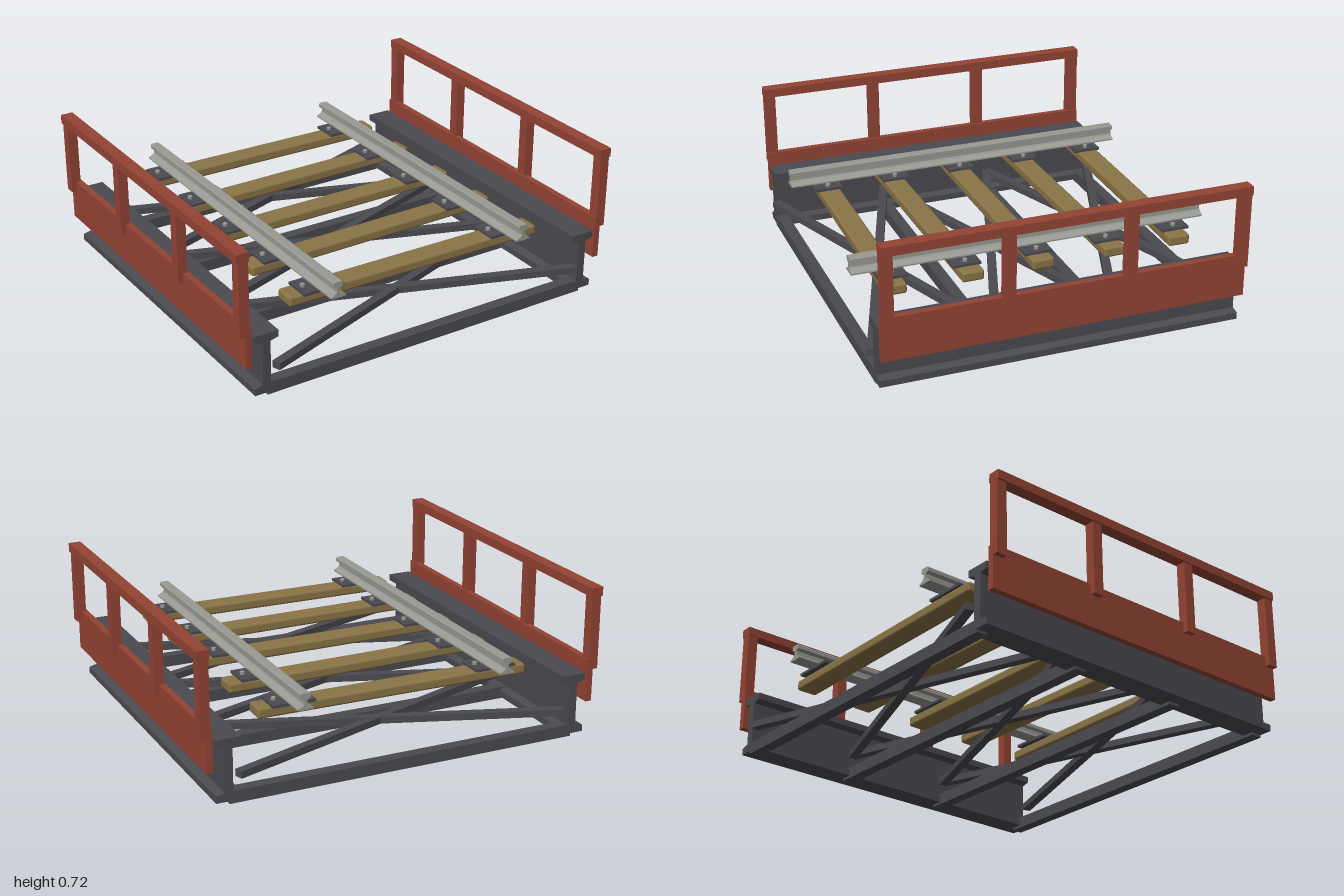
import * as THREE from 'three';
import { RoundedBoxGeometry } from 'three/addons/geometries/RoundedBoxGeometry.js';

const LENGTH = 1.73;

function material(name, color) {
  const m = new THREE.MeshStandardMaterial({ color });
  m.name = name;
  return m;
}

export function createModel() {
  const steel = material('dark steel', 0x4b4a50);
  const red = material('red paint', 0x944434);
  const wood = material('timber', 0x8b7547);
  const rail = material('rail steel', 0x999a93);

  const model = new THREE.Group();
  model.name = 'railwayBridgeSection';

  function add(name, geometry, mat, x = 0, y = 0, z = 0, yaw = 0) {
    const mesh = new THREE.Mesh(geometry, mat);
    mesh.name = name;
    mesh.position.set(x, y, z);
    mesh.rotation.y = yaw;
    model.add(mesh);
    return mesh;
  }

  // Box given by its limits on each axis
  function slab(name, mat, x0, x1, y0, y1, z0, z1) {
    const g = new THREE.BoxGeometry(x1 - x0, y1 - y0, z1 - z0);
    return add(name, g, mat, (x0 + x1) / 2, (y0 + y1) / 2, (z0 + z1) / 2);
  }

  // Symmetrical section (half given bottom to top) run along z
  function section(half) {
    const pts = [...half, ...half.map(([x, y]) => [-x, y]).reverse()];
    const shape = new THREE.Shape(pts.map(([x, y]) => new THREE.Vector2(x, y)));
    return new THREE.ExtrudeGeometry(shape, { depth: LENGTH, bevelEnabled: false })
      .translate(0, 0, -LENGTH / 2);
  }

  const girder = section([
    [0.06, 0.018], [0.06, 0.05], [0.02, 0.06],
    [0.02, 0.268], [0.06, 0.278], [0.06, 0.31],
  ]);
  const runningRail = section([
    [0.037, 0.375], [0.037, 0.382], [0.012, 0.395], [0.007, 0.402],
    [0.007, 0.422], [0.024, 0.43], [0.024, 0.446], [0.019, 0.452],
  ]);
  const bolt = new THREE.CylinderGeometry(0.012, 0.012, 0.014, 6);
  const plate = new THREE.BoxGeometry(0.206, 0.013, 0.135);
  const sleeper = new RoundedBoxGeometry(1.34, 0.05, 0.106, 2, 0.012);

  const posts = [-0.838, -0.287, 0.287, 0.838];
  const sleeperZ = [-0.692, -0.346, 0, 0.346, 0.692];
  const sleeperYaw = [-0.013, 0.015, 0.004, 0.014, -0.013];

  for (const s of [-1, 1]) {
    add('girder', girder, steel, s * 0.865);
    add('runningRail', runningRail, rail, s * 0.503);

    // Side fence: kick panel, posts and handrail
    const span = (a, b) => (s > 0 ? [a, b] : [-b, -a]);
    slab('fencePanel', red, ...span(0.936, 0.967), 0.165, 0.373, -LENGTH / 2, LENGTH / 2);
    slab('handrail', red, ...span(0.94, 1), 0.677, 0.72, -LENGTH / 2, LENGTH / 2);
    for (const z of posts) {
      slab('fencePost', red, ...span(0.944, 0.992), 0.322, 0.678, z - 0.026, z + 0.026);
    }

    // Tie plates with a bolt either side of the rail
    for (const z of sleeperZ) {
      add('tiePlate', plate, steel, s * 0.507, 0.3665, z);
      for (const x of [0.432, 0.58]) add('plateBolt', bolt, rail, s * x, 0.379, z);
    }
  }

  // Timber sleepers laid slightly askew
  sleeperZ.forEach((z, i) => add('sleeper', sleeper, wood, 0, 0.336, z, sleeperYaw[i]));

  // Cross beams joining the girders
  for (const z of [-0.835, -0.287, 0.287, 0.835]) {
    slab('crossBeam', steel, -0.862, 0.862, 0.004, 0.062, z - 0.028, z + 0.028);
  }

  // Diagonal bracing, one X in each bay
  const run = 1.64, rise = 0.577;
  const brace = new THREE.BoxGeometry(Math.hypot(run, rise), 0.033, 0.042);
  for (const z of [-rise, 0, rise]) {
    for (const s of [-1, 1]) {
      add('diagonalBrace', brace, steel, 0, 0.138 + s * 0.0005, z, s * Math.atan2(rise, run));
    }
  }

  return model;
}
